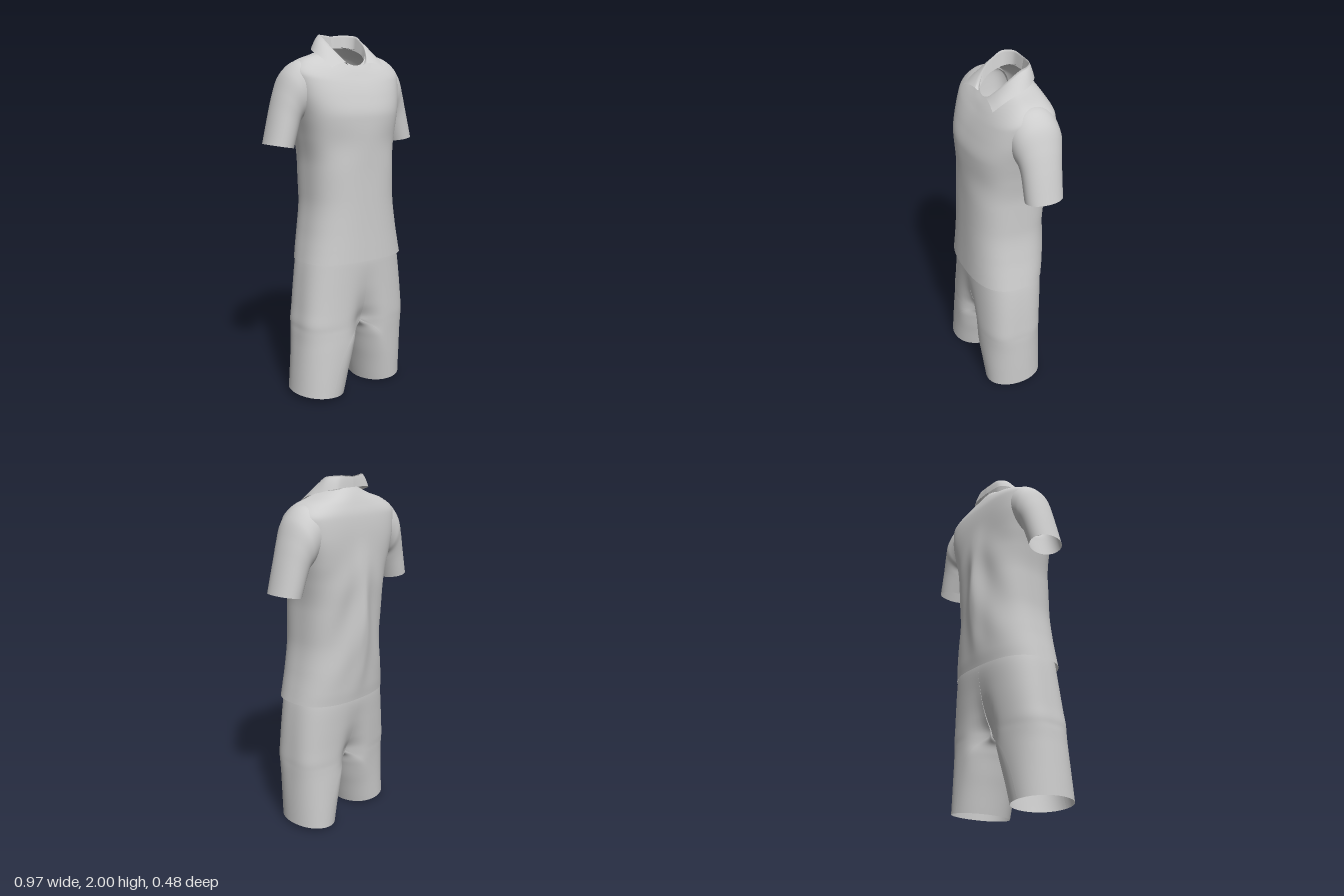
import * as THREE from 'three';

const cloth = new THREE.MeshStandardMaterial({ color: 0xcccccc, side: THREE.DoubleSide });
cloth.name = 'grey cloth';

// Smooth, non-overshooting interpolation through rows of key numbers
function sample(keys, t) {
  const n = keys.length, i = Math.min(Math.floor(t), n - 2), f = t - i;
  return keys[0].map((_, c) => {
    const d = (k) => (k < 0 || k > n - 2 ? null : keys[k + 1][c] - keys[k][c]);
    const slope = (a, b) => (a === null ? b : b === null ? a : a * b <= 0 ? 0 : (2 * a * b) / (a + b));
    const m0 = slope(d(i - 1), d(i)), m1 = slope(d(i), d(i + 1));
    const f2 = f * f, f3 = f2 * f;
    return keys[i][c] * (2 * f3 - 3 * f2 + 1) + m0 * (f3 - 2 * f2 + f)
      + keys[i + 1][c] * (3 * f2 - 2 * f3) + m1 * (f3 - f2);
  });
}

// Skin a grid of points; point(row, column) with both running 0..1
function skin(name, rows, cols, closed, point, flip = false) {
  const pos = [], idx = [], w = closed ? cols : cols + 1;
  for (let r = 0; r <= rows; r++)
    for (let c = 0; c < w; c++) pos.push(...point(r / rows, c / cols));
  for (let r = 0; r < rows; r++)
    for (let c = 0; c < cols; c++) {
      const e = (c + 1) % w, a = r * w + c, b = r * w + e, p = a + w, q = b + w;
      if (flip) idx.push(a, b, p, b, q, p);
      else idx.push(a, p, b, b, p, q);
    }
  const g = new THREE.BufferGeometry();
  g.setAttribute('position', new THREE.Float32BufferAttribute(pos, 3));
  g.setIndex(idx);
  g.computeVertexNormals();
  const mesh = new THREE.Mesh(g, cloth);
  mesh.name = name;
  return mesh;
}

const bell = (v, w) => Math.exp(-(v * v) / (w * w));

// Point on a rounded-square unit outline; p = 1 is a circle, smaller is squarer
function outline(angle, p) {
  const c = Math.cos(angle), s = Math.sin(angle), n = 2 / p;
  const r = Math.pow(Math.pow(Math.abs(c), n) + Math.pow(Math.abs(s), n), -1 / n);
  return [c * r, s * r];
}

// Shirt body: half width, front z, back z, y at front / side / back, front and back squareness
const BODY = [
  [0.318, 0.240, -0.190, 0.775, 0.770, 0.765, 0.78, 0.78],
  [0.305, 0.237, -0.198, 0.84, 0.84, 0.84, 0.78, 0.78],
  [0.285, 0.232, -0.203, 0.95, 0.95, 0.95, 0.78, 0.76],
  [0.265, 0.226, -0.205, 1.12, 1.12, 1.12, 0.78, 0.74],
  [0.264, 0.222, -0.208, 1.30, 1.30, 1.30, 0.76, 0.70],
  [0.280, 0.222, -0.211, 1.45, 1.45, 1.45, 0.76, 0.64],
  [0.300, 0.218, -0.210, 1.56, 1.56, 1.57, 0.76, 0.56],
  [0.326, 0.190, -0.206, 1.66, 1.69, 1.69, 0.75, 0.50],
  [0.336, 0.160, -0.195, 1.73, 1.79, 1.79, 0.76, 0.52],
  [0.278, 0.138, -0.172, 1.77, 1.858, 1.855, 0.83, 0.68],
  [0.185, 0.118, -0.146, 1.805, 1.89, 1.905, 0.95, 0.92],
  [0.122, 0.100, -0.125, 1.83, 1.915, 1.935, 1.0, 1.0],
];

function bodyPoint(v, u) {
  const [w, zf, zb, yf, ys, yb, pf, pb] = sample(BODY, v * (BODY.length - 1));
  const a = u * Math.PI * 2, s = Math.sin(a);
  const [ex, ez] = outline(a, s > 0 ? pf : pb);
  const x = w * ex;
  const y = ys + (s > 0 ? yf - ys : yb - ys) * s * s;
  let z = (zf + zb) / 2 + ((zf - zb) / 2) * ez;
  if (s < 0) {
    // loose fold down the spine and soft drapes beside it
    const drape = Math.exp(-Math.pow((y - 1.23) / 0.33, 4));
    z -= drape * 0.030 * bell(x, 0.06);
    z += 0.005 * drape * -s * Math.sin(26 * Math.abs(x) + 14 * y);
  } else {
    // shallow dip between the chest muscles
    z -= 0.012 * s * bell(y - 1.42, 0.1) * bell(Math.abs(x) - 0.2, 0.12);
  }
  return [x, y, z];
}

// Sleeve: outer x,y, inner x,y, front z, back z
const SLEEVE = [
  [0.200, 1.868, 0.220, 1.62, 0.070, -0.150],
  [0.290, 1.855, 0.250, 1.57, 0.092, -0.176],
  [0.363, 1.795, 0.278, 1.545, 0.082, -0.178],
  [0.408, 1.695, 0.294, 1.53, 0.066, -0.166],
  [0.442, 1.590, 0.306, 1.49, 0.058, -0.155],
  [0.487, 1.422, 0.335, 1.396, 0.056, -0.145],
];

function sleevePoint(side, v, u) {
  const [ox, oy, ix, iy, zf, zb] = sample(SLEEVE, v * (SLEEVE.length - 1));
  const [c, s] = outline(u * Math.PI * 2, 0.95);
  const x = (ox + ix) / 2 + (c * (ox - ix)) / 2;
  const y = (oy + iy) / 2 + (c * (oy - iy)) / 2;
  return [side * x, y, (zf + zb) / 2 + ((zf - zb) / 2) * s];
}

// Collar half, back to front: inner edge, fold line and outer edge
const COLLAR = [
  [0, 1.925, -0.120, 0, 1.990, -0.132, 0, 1.935, -0.140],
  [0.070, 1.925, -0.110, 0.080, 1.997, -0.120, 0.105, 1.932, -0.134],
  [0.112, 1.910, -0.060, 0.124, 1.990, -0.065, 0.172, 1.915, -0.075],
  [0.110, 1.890, 0.000, 0.120, 1.948, 0.005, 0.192, 1.893, 0.000],
  [0.086, 1.855, 0.060, 0.098, 1.892, 0.065, 0.188, 1.860, 0.070],
  [0.050, 1.832, 0.098, 0.068, 1.845, 0.110, 0.176, 1.820, 0.125],
];

function collarPoint(side, v, u) {
  const k = sample(COLLAR, u * (COLLAR.length - 1));
  const inner = v < 0.5, f = inner ? v * 2 : v * 2 - 1, o = inner ? 0 : 3;
  const q = [0, 1, 2].map((i) => k[o + i] + (k[o + 3 + i] - k[o + i]) * f);
  return [side * q[0], q[1] + (inner ? 0 : 0.008 * Math.sin(f * Math.PI)), q[2]];
}

// Shorts half: y, leg centre x, outer reach, inner reach, front z, back z, seam dent, squareness
const LEGS = {
  1: [
    [0.86, 0, 0.285, 0, 0.205, -0.170, 0, 0.75],
    [0.76, 0, 0.308, 0, 0.218, -0.182, 0, 0.74],
    [0.62, 0, 0.323, 0, 0.218, -0.174, 0.06, 0.70],
    [0.50, 0, 0.331, 0, 0.218, -0.166, 0.20, 0.66],
    [0.415, 0, 0.335, 0, 0.217, -0.162, 0.38, 0.63],
    [0.365, 0.060, 0.276, 0.050, 0.213, -0.159, 0.40, 0.70],
    [0.29, 0.125, 0.211, 0.103, 0.206, -0.157, 0.25, 0.80],
    [0.16, 0.175, 0.161, 0.130, 0.197, -0.156, 0.08, 0.90],
    [0.01, 0.205, 0.130, 0.135, 0.185, -0.155, 0, 0.96],
  ],
  '-1': [
    [0.86, 0, 0.285, 0, 0.205, -0.170, 0, 0.75],
    [0.76, 0, 0.308, 0, 0.218, -0.182, 0, 0.74],
    [0.62, 0, 0.328, 0, 0.218, -0.172, 0.06, 0.70],
    [0.50, 0, 0.343, 0, 0.219, -0.161, 0.20, 0.66],
    [0.415, 0, 0.354, 0, 0.220, -0.152, 0.38, 0.63],
    [0.365, 0.060, 0.298, 0.050, 0.220, -0.146, 0.40, 0.70],
    [0.29, 0.135, 0.230, 0.113, 0.220, -0.137, 0.25, 0.80],
    [0.16, 0.198, 0.180, 0.143, 0.220, -0.127, 0.08, 0.90],
    [0.015, 0.240, 0.150, 0.148, 0.220, -0.120, 0, 0.96],
  ],
};
const CROTCH = 4, HEM = 8;

function legPoint(side, t, angle) {
  const [y, cx, ro, ri, zf, zb, dent, p] = sample(LEGS[side], t);
  const [c, s] = outline(angle, p);
  const x = cx + (c > 0 ? ro : ri) * c;
  const z = (zf + zb) / 2 + ((zf - zb) / 2) * s * (1 - dent * bell(x, 0.075));
  // crotch seam sags between the legs, hem rises a little on the outside
  const sag = c < 0 ? 0.035 * c * Math.max(0, 1 - (t - CROTCH) / 2) : 0;
  const hem = 0.012 * Math.max(0, t - HEM + 1) * c;
  return [side * x, y + sag + hem, z];
}

export function createModel() {
  const model = new THREE.Group();
  model.name = 'shirtAndShorts';
  const shirt = new THREE.Group();
  shirt.name = 'shirt';
  const shorts = new THREE.Group();
  shorts.name = 'shorts';
  model.add(shirt, shorts);

  shirt.add(skin('shirtBody', 88, 120, true, bodyPoint));

  for (const side of [1, -1]) {
    const label = side > 0 ? 'left' : 'right', mirrored = side < 0;
    shirt.add(skin(label + 'Sleeve', 40, 48, true, (v, u) => sleevePoint(side, v, u), mirrored));
    shirt.add(skin(label + 'Collar', 12, 40, false, (v, u) => collarPoint(side, v, u), mirrored));

    // outer panel runs from waist to hem, inner panel from crotch to hem
    shorts.add(skin(label + 'OuterLeg', HEM * 6, 48, false,
      (v, u) => legPoint(side, v * HEM, (u - 0.5) * Math.PI), !mirrored));
    shorts.add(skin(label + 'InnerLeg', (HEM - CROTCH) * 6, 32, false,
      (v, u) => legPoint(side, CROTCH + v * (HEM - CROTCH), (u + 0.5) * Math.PI), !mirrored));
  }
  return model;
}
